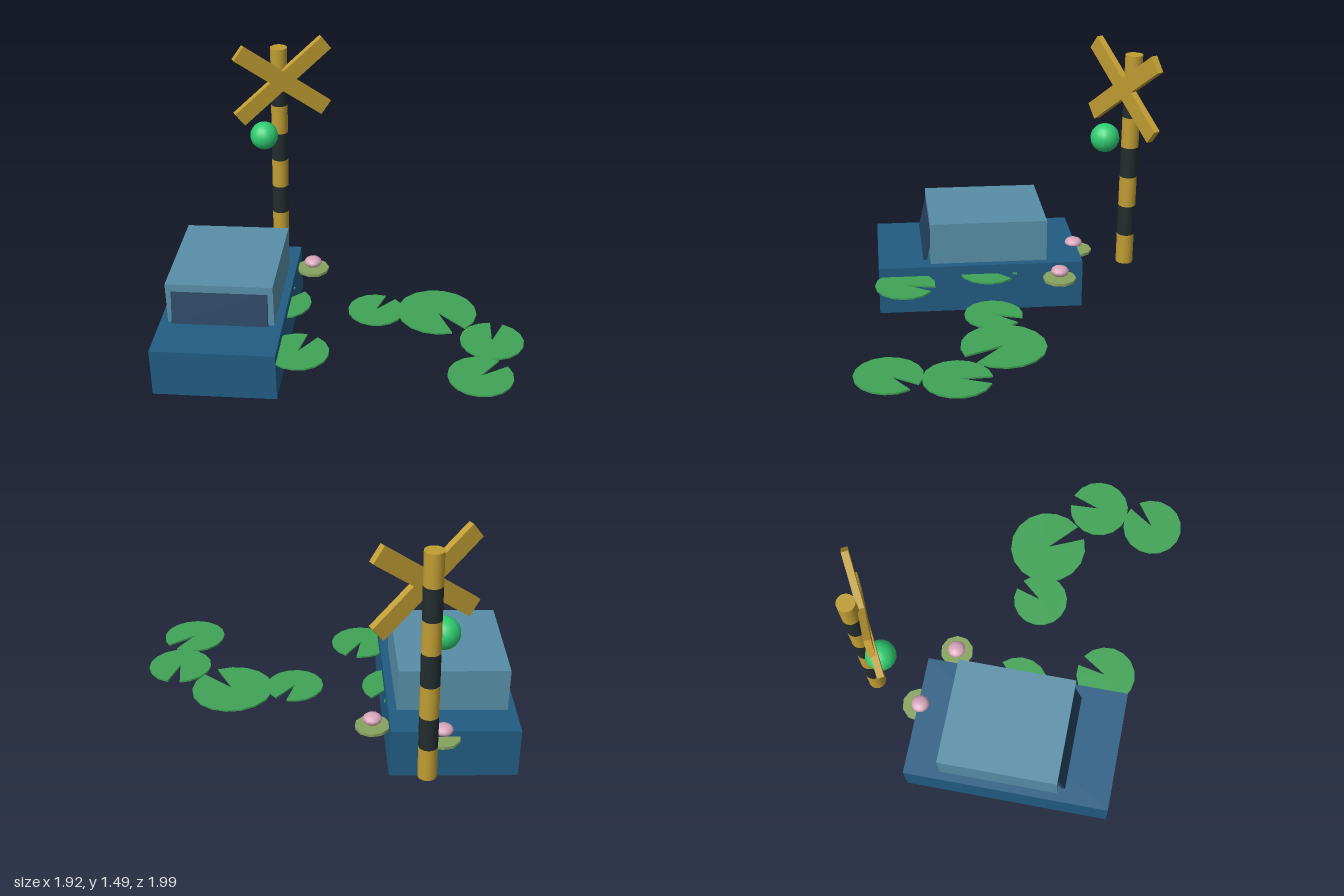
import * as THREE from 'three';

const mat = (name, color, side = THREE.FrontSide) => {
  const m = new THREE.MeshStandardMaterial({ color, side });
  m.name = name;
  return m;
};

export function createModel() {
  const model = new THREE.Group();
  model.name = 'sunkenCarAtCrossing';
  const bodyBlue = mat('bodyBlue', 0x215c82);
  const cabinBlue = mat('cabinBlue', 0x588fa8);
  const glassNavy = mat('glassNavy', 0x25425f);
  const gold = mat('gold', 0xc09d33);
  const black = mat('black', 0x222c2e);
  const signalGreen = mat('signalGreen', 0x2ecc71);
  const padGreen = mat('padGreen', 0x41a457);
  const leafOlive = mat('leafOlive', 0x87a35f);
  const petalPink = mat('petalPink', 0xd8a5ba);

  const add = (parent, name, geo, material, x, y, z) => {
    const m = new THREE.Mesh(geo, material);
    m.name = name;
    m.position.set(x, y, z);
    parent.add(m);
    return m;
  };

  // Car, turned and slightly rolled
  const car = new THREE.Group();
  car.name = 'car';
  car.position.set(-0.402, 0.147, -0.283);
  car.rotation.set(0, -0.467, 0.027, 'YXZ');
  model.add(car);
  add(car, 'carBody', new THREE.BoxGeometry(0.666, 0.27, 1.136), bodyBlue, 0, 0, 0);
  add(car, 'carCabin', new THREE.BoxGeometry(0.579, 0.24, 0.65), cabinBlue, 0, 0.25, -0.045);
  const glass = add(car, 'windshield', new THREE.BoxGeometry(0.52, 0.19, 0.02), glassNavy, 0, 0.24, 0.289);
  glass.rotation.x = -0.22;

  // Striped crossing post
  const post = new THREE.Group();
  post.name = 'crossingPost';
  post.position.set(0.127, 0, -0.952);
  model.add(post);
  const band = 1.22 / 7;
  for (let i = 0; i < 7; i++) {
    add(post, 'postBand', new THREE.CylinderGeometry(0.048, 0.048, band, 20),
      i % 2 ? black : gold, 0, 0.215 + band * (i + 0.5), 0);
  }
  // Crossed boards
  for (const s of [-1, 1]) {
    const board = add(post, 'crossBoard', new THREE.BoxGeometry(0.66, 0.095, 0.036), gold, 0, 1.255, 0.057);
    board.rotation.z = s * 0.652;
  }
  // Signal lamp
  add(model, 'signalLamp', new THREE.SphereGeometry(0.081, 16, 12), signalGreen, 0.005, 0.94, -0.872);

  // Notched lily pads: x, z, radius, notch start and end in degrees
  const padGeometry = (r, a, b) => {
    const n = 16;
    const pts = [new THREE.Vector2(0, 0)];
    for (let i = 0; i <= n; i++) {
      const t = THREE.MathUtils.degToRad(b + (360 - b + a) * i / n);
      pts.push(new THREE.Vector2(r * Math.cos(t), r * Math.sin(t)));
    }
    const geo = new THREE.ExtrudeGeometry(new THREE.Shape(pts), { depth: 0.01, bevelEnabled: false });
    return geo.rotateX(-Math.PI / 2);
  };
  const pads = [
    [0.33, 0.065, 0.153, 23, 46],
    [0.637, 0.2, 0.217, -93, -70],
    [0.79, 0.56, 0.17, 43, 66],
    [0.59, 0.825, 0.17, 8, 30],
    [-0.21, 0.292, 0.165, 30, 52],
    [-0.13, -0.195, 0.165, 18, 43],
  ];
  for (const [x, z, r, a, b] of pads) {
    add(model, 'lilyPad', padGeometry(r, a, b), padGreen, x, 0.229, z);
  }

  // Lotus flowers on small leaves: leaf x, y, z, then flower x, y, z
  const lotuses = [
    [0.16, 0.235, -0.477, 0.16, 0.28, -0.477],
    [-0.088, 0.245, -0.762, -0.097, 0.29, -0.753],
  ];
  for (const [lx, ly, lz, fx, fy, fz] of lotuses) {
    add(model, 'lotusLeaf', new THREE.CylinderGeometry(0.092, 0.092, 0.016, 10), leafOlive, lx, ly, lz);
    const flower = add(model, 'lotusFlower', new THREE.SphereGeometry(0.05, 12, 8), petalPink, fx, fy, fz);
    flower.scale.y = 0.6;
  }
  return model;
}
